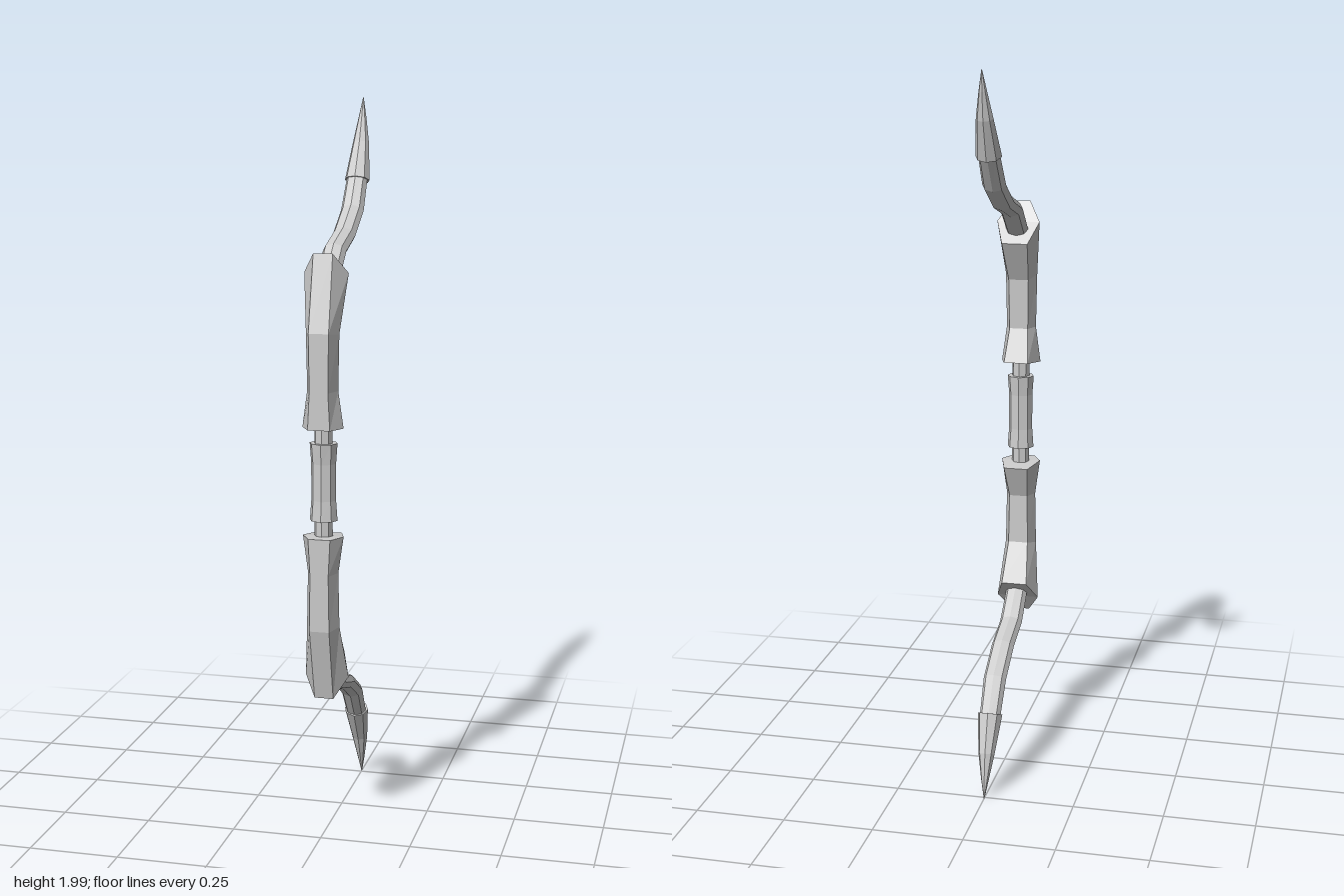
import * as THREE from 'three';

const MID = 1.003; // height of the mirror plane
const material = new THREE.MeshStandardMaterial({ color: 0xcccccc, flatShading: true });

// Closed skin over rings of points that run counter-clockwise around the path
function loft(name, rings) {
  const pos = [];
  const tri = (a, b, c) => pos.push(...a, ...b, ...c);
  const n = rings[0].length;
  for (let i = 0; i < rings.length - 1; i++) {
    for (let j = 0; j < n; j++) {
      const k = (j + 1) % n;
      tri(rings[i][j], rings[i][k], rings[i + 1][k]);
      tri(rings[i][j], rings[i + 1][k], rings[i + 1][j]);
    }
  }
  const first = rings[0], last = rings[rings.length - 1];
  for (let j = 1; j < n - 1; j++) {
    tri(first[0], first[j + 1], first[j]);
    tri(last[0], last[j], last[j + 1]);
  }
  const geometry = new THREE.BufferGeometry();
  geometry.setAttribute('position', new THREE.Float32BufferAttribute(pos, 3));
  geometry.computeVertexNormals();
  const mesh = new THREE.Mesh(geometry, material);
  mesh.name = name;
  return mesh;
}

// Eight-sided rings along a path of [y, z, halfWidth, halfDepth]
function pathRings(path) {
  return path.map(([y, z, w, d], i) => {
    const p = path[Math.max(i - 1, 0)], q = path[Math.min(i + 1, path.length - 1)];
    const len = Math.hypot(q[0] - p[0], q[1] - p[1]);
    const ty = (q[0] - p[0]) / len, tz = (q[1] - p[1]) / len;
    return Array.from({ length: 8 }, (_, j) => {
      const a = (j * Math.PI) / 4, s = Math.sin(a) * d;
      return [Math.cos(a) * w, y + tz * s - MID, z - ty * s];
    });
  });
}

// Six-sided ring from front, side and back corners, each [y, z, halfWidth]
function plateRing([front, side, back]) {
  const at = ([y, z, w], s) => [s * w, y - MID, z];
  return [at(side, 1), at(back, 1), at(back, -1), at(side, -1), at(front, -1), at(front, 1)];
}

function createHalf(name) {
  const half = new THREE.Group();
  half.name = name;

  // Faceted sleeve, flared at both ends
  half.add(loft('sleeve', [
    [[1.15, 0.26, 0.03], [1.15, 0.213, 0.056], [1.158, 0.14, 0.034]],
    [[1.25, 0.26, 0.025], [1.25, 0.215, 0.042], [1.25, 0.178, 0.026]],
    [[1.405, 0.26, 0.027], [1.40, 0.215, 0.045], [1.39, 0.174, 0.028]],
    [[1.608, 0.21, 0.026], [1.555, 0.172, 0.06], [1.50, 0.12, 0.036]],
  ].map(plateRing)));

  // Recurved limb
  half.add(loft('limb', pathRings([
    [1.44, 0.205, 0.03, 0.024],
    [1.53, 0.163, 0.031, 0.024],
    [1.603, 0.082, 0.032, 0.024],
    [1.636, -0.025, 0.032, 0.024],
    [1.695, -0.123, 0.032, 0.024],
    [1.79, -0.188, 0.029, 0.023],
  ])));

  // Curved pointed tip
  half.add(loft('tip', pathRings([
    [1.775, -0.182, 0.035, 0.032],
    [1.875, -0.227, 0.023, 0.02],
    [1.945, -0.246, 0.011, 0.01],
    [1.998, -0.257, 0.001, 0.001],
  ])));
  return half;
}

export function createModel() {
  const bow = new THREE.Group();
  bow.name = 'bow';

  const upper = createHalf('upperHalf');
  const lower = createHalf('lowerHalf');
  lower.rotation.z = Math.PI;

  // Thin core between the sleeves and the waisted grip around it
  const core = loft('core', pathRings([
    [MID - 0.2, 0.208, 0.025, 0.022],
    [MID + 0.2, 0.208, 0.025, 0.022],
  ]));
  const grip = loft('grip', pathRings([
    [MID - 0.105, 0.207, 0.038, 0.034],
    [MID - 0.05, 0.207, 0.034, 0.029],
    [MID + 0.05, 0.207, 0.034, 0.029],
    [MID + 0.105, 0.207, 0.038, 0.034],
  ]));

  const body = new THREE.Group();
  body.name = 'body';
  body.position.y = MID;
  body.add(upper, lower, core, grip);
  bow.add(body);
  return bow;
}
